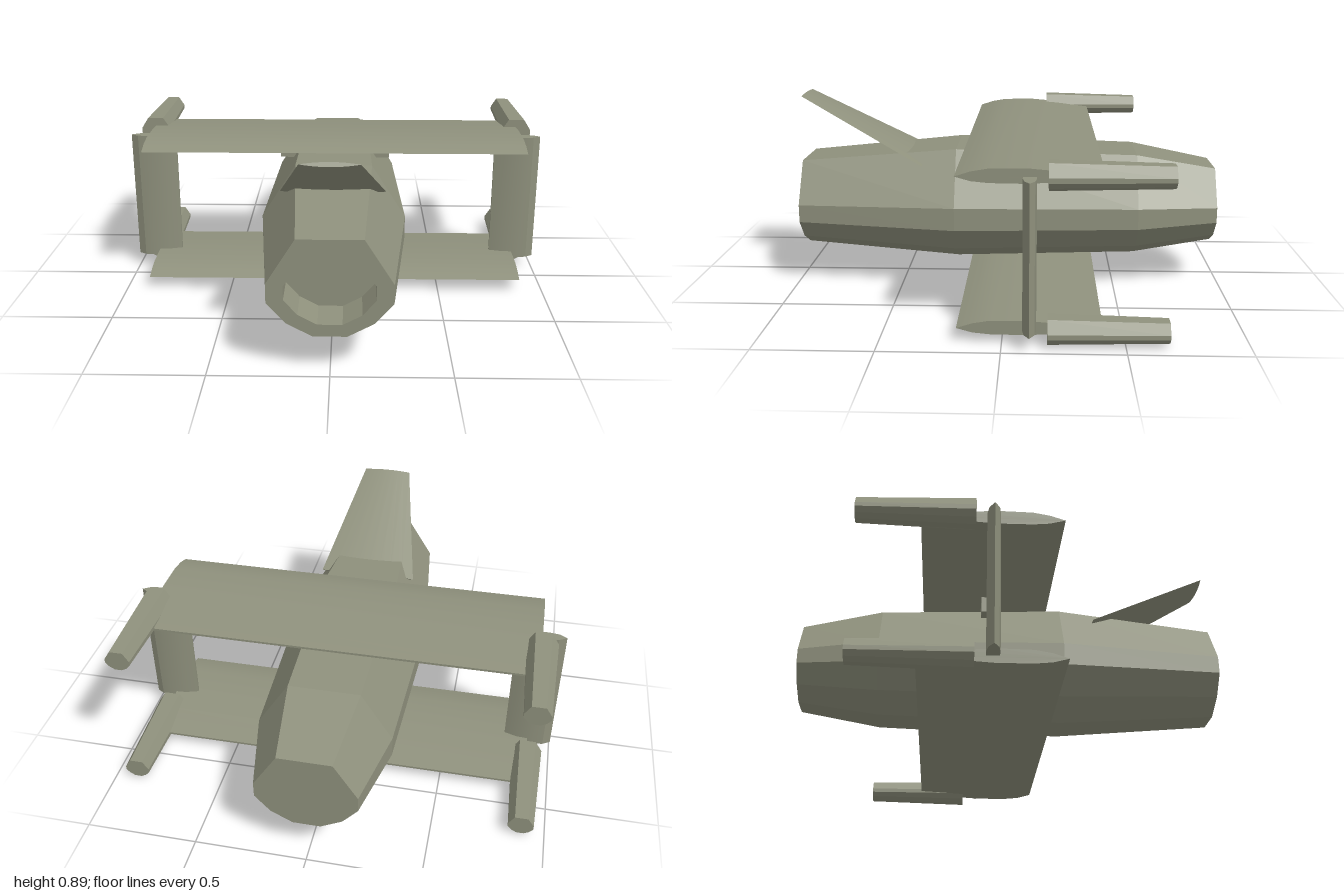
import * as THREE from 'three';
import { toCreasedNormals } from 'three/addons/utils/BufferGeometryUtils.js';

// Skin a list of convex rings (counter-clockwise seen from the last ring) and cap both ends.
function loft(rings, crease = 0.05) {
  const pos = [];
  const tri = (a, b, c) => pos.push(...a, ...b, ...c);
  const n = rings[0].length;
  for (let k = 0; k < rings.length - 1; k++) {
    const a = rings[k], b = rings[k + 1];
    for (let i = 0; i < n; i++) {
      const j = (i + 1) % n;
      tri(a[i], a[j], b[j]);
      tri(a[i], b[j], b[i]);
    }
  }
  const first = rings[0], last = rings[rings.length - 1];
  for (let i = 1; i < n - 1; i++) {
    tri(first[0], first[i + 1], first[i]);
    tri(last[0], last[i], last[i + 1]);
  }
  const g = new THREE.BufferGeometry();
  g.setAttribute('position', new THREE.Float32BufferAttribute(pos, 3));
  return toCreasedNormals(g, crease);
}

// Ten-sided body section shared by the fuselage and the pods
const half = [[0.09, -0.25], [0.23, -0.175], [0.33, -0.06], [0.33, 0.045], [0.175, 0.29]];
const section = [...half, ...half.slice().reverse().map(([x, y]) => [-x, y])];
const bodyRing = (s, z) => section.map(([x, y]) => [x * s, y * s, z]);

// Wing profile: [z, height], nose, underside, tail, upper side
const airfoil = [[0.185, 0.0], [0.12, -0.018], [0.05, -0.025], [-0.1, -0.027], [-0.41, -0.008],
  [-0.41, 0.002], [-0.25, 0.022], [-0.1, 0.035], [0.05, 0.033], [0.12, 0.021]];

// Strut profile: [chord, thickness], outer edge first
const strutProfile = [[0.11, 0], [0.075, -0.021], [0.03, -0.028], [-0.05, -0.023], [-0.11, -0.006],
  [-0.11, 0.006], [-0.05, 0.023], [0.03, 0.028], [0.075, 0.021]];

export function createModel() {
  const group = new THREE.Group();
  const hullPaint = new THREE.MeshStandardMaterial({ color: 0x8f917d });
  hullPaint.name = 'olive grey';
  const add = (name, geometry, x = 0, y = 0, z = 0) => {
    const m = new THREE.Mesh(geometry, hullPaint);
    m.name = name;
    m.position.set(x, y, z);
    group.add(m);
    return m;
  };

  // Fuselage with a recessed front intake
  add('fuselage', loft([
    bodyRing(0.67, -0.97), bodyRing(0.91, -0.6), bodyRing(1, 0.24),
    bodyRing(0.77, 0.97), bodyRing(0.56, 0.97), bodyRing(0.56, 0.8),
  ]), 0, 0.36, 0);

  // Upper and lower wings
  const wing = loft([-0.89, 0.89].map(x => airfoil.map(([z, y]) => [x, y, z])), 0.45);
  add('upperWing', wing, 0, 0.691, 0);
  add('lowerWing', wing, 0, 0.061, 0);

  // Cross bars holding the wings to the fuselage
  add('upperWingMount', new THREE.BoxGeometry(0.53, 0.08, 0.05), 0, 0.63, -0.11);
  add('lowerWingMount', new THREE.BoxGeometry(0.53, 0.07, 0.05), 0, 0.11, -0.11);

  // Wingtip struts and pods, mirrored left and right
  const strut = loft([0.065, 0.692].map(y => strutProfile.map(([u, v]) => [u, y, v])), 0.35);
  const pod = loft([bodyRing(0.17, -0.675), bodyRing(0.212, -0.185)]);
  for (const [side, label] of [[1, 'left'], [-1, 'right']]) {
    const s = add(label + 'Strut', strut, side * 0.89, 0, -0.112);
    if (side < 0) s.rotation.y = Math.PI;
    add(label + 'UpperPod', pod, side * 0.893, 0.695, 0);
    add(label + 'LowerPod', pod, side * 0.893, 0.056, 0);
  }

  // Forward-swept slanted fin with a lens-shaped section
  const finRing = (w, t, y, z) => {
    const ring = [];
    for (let i = 0; i < 16; i++) {
      const u = i < 8 ? -1 + i / 4 : 1 - (i - 8) / 4;
      const h = (i < 8 ? -1 : 1) * t * (1 - u * u);
      ring.push([w * u, y + 0.88 * h, z - 0.47 * h]);
    }
    return ring;
  };
  add('slantedFin', loft([finRing(0.235, 0.013, 0.58, 0.395), finRing(0.118, 0.01, 0.885, 0.966)], 0.4));

  return group;
}
